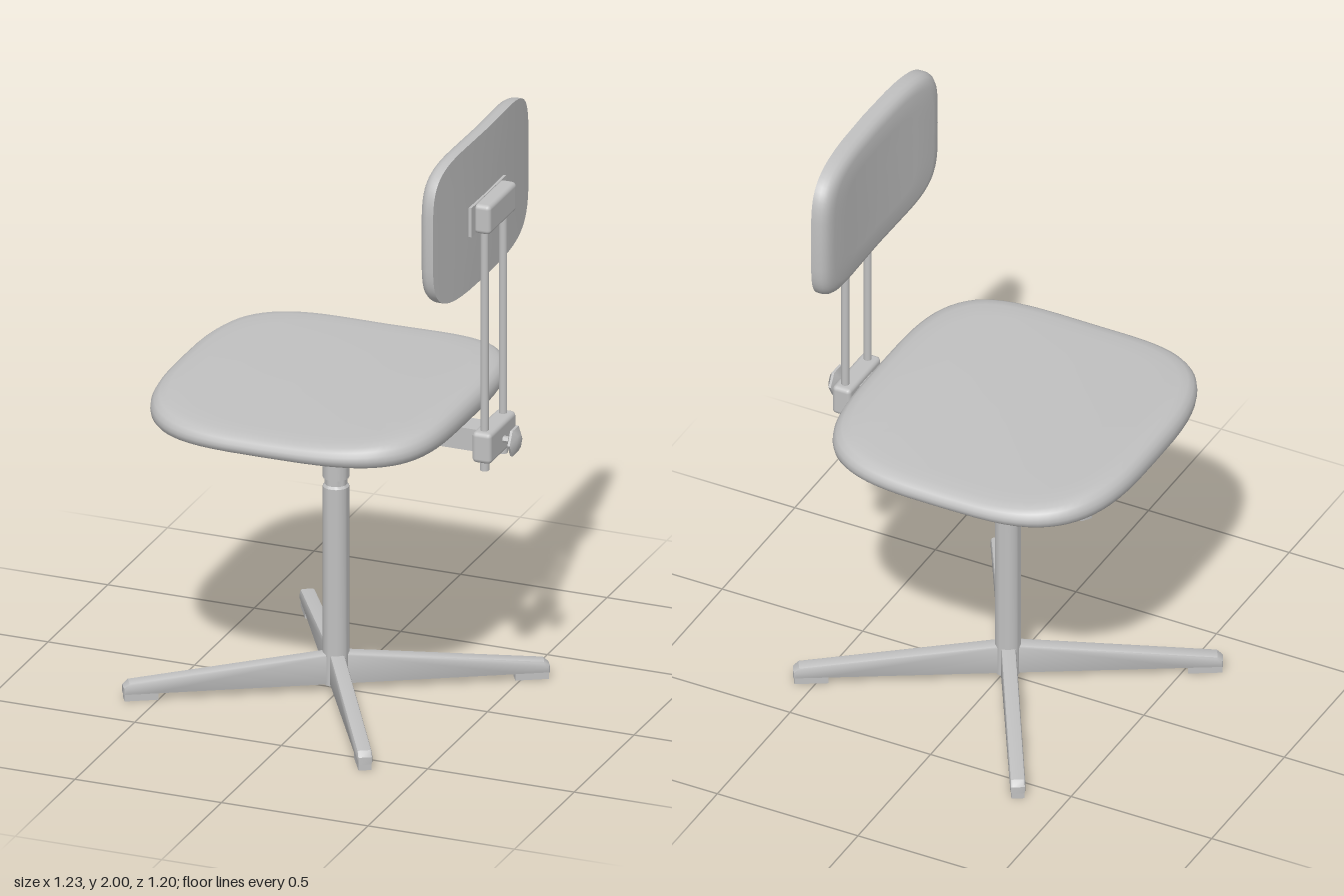
import * as THREE from 'three';
import { toCreasedNormals } from 'three/addons/utils/BufferGeometryUtils.js';
import { RoundedBoxGeometry } from 'three/addons/geometries/RoundedBoxGeometry.js';

const CX = -0.017; // column axis

export function createModel() {
  const model = new THREE.Group();
  model.name = 'workChair';
  const grey = new THREE.MeshStandardMaterial({ color: 0xc0c0c0 });
  grey.name = 'grey';

  const add = (name, geometry, x = 0, y = 0, z = 0, parent = model) => {
    const mesh = new THREE.Mesh(geometry, grey);
    mesh.name = name;
    mesh.position.set(x, y, z);
    parent.add(mesh);
    return mesh;
  };

  // Closed skin over [scale, level] rings; point(angle, scale, level) gives each vertex
  const loft = (rings, point, segments = 64) => {
    const positions = [], index = [];
    for (const [s, t] of rings)
      for (let j = 0; j < segments; j++) positions.push(...point((j / segments) * Math.PI * 2, s, t));
    for (let i = 0; i < rings.length - 1; i++)
      for (let j = 0; j < segments; j++) {
        const k = (j + 1) % segments;
        const a = i * segments + j, b = a + segments, c = i * segments + k, d = c + segments;
        if (rings[i][0] > 0) index.push(a, b, c);
        else { index.push(a, b, d); continue; }
        if (rings[i + 1][0] > 0) index.push(c, b, d);
      }
    const g = new THREE.BufferGeometry();
    g.setAttribute('position', new THREE.Float32BufferAttribute(positions, 3));
    g.setIndex(index);
    return toCreasedNormals(g, 0.75);
  };

  // Rounded-square outline
  const outline = (angle, a, b, n) => {
    const c = Math.cos(angle), s = Math.sin(angle);
    return [a * Math.sign(c) * Math.abs(c) ** (2 / n), b * Math.sign(s) * Math.abs(s) ** (2 / n)];
  };

  // Side profile extruded to a bevelled bar, centred on z
  const bar = (points, width, bevel) => {
    const shape = new THREE.Shape(points.map(([x, y]) => new THREE.Vector2(x, y)));
    const g = new THREE.ExtrudeGeometry(shape, {
      depth: width - 2 * bevel, bevelEnabled: true, bevelThickness: bevel,
      bevelSize: bevel, bevelOffset: -bevel, bevelSegments: 2,
    });
    return toCreasedNormals(g.translate(0, 0, -width / 2 + bevel), 0.6);
  };

  const lathe = (points, segments = 32) => toCreasedNormals(
    new THREE.LatheGeometry(points.map(([r, y]) => new THREE.Vector2(r, y)), segments), 0.6);

  // Seat: gently dished cushion
  add('seat', loft(
    [[0, 0], [0.95, 0], [0.98, 0.06], [0.995, 0.2], [1, 0.38], [0.997, 0.58], [0.98, 0.78], [0.95, 0.92],
      [0.9, 0.99], [0.8, 1], [0.6, 1], [0.4, 1], [0.2, 1], [0, 1]],
    (angle, s, t) => {
      const [ox, oz] = outline(angle, 0.5, 0.54, 3.5 + 0.3 * Math.cos(angle));
      const x = -0.05 + ox * s, z = oz * s;
      const top = 1.056 + 0.017 * Math.min(1, ((x + 0.08) / 0.4) ** 2) - 0.01 * (z / 0.54) ** 2;
      return [x, 0.988 + (top - 0.988) * t, z];
    }, 72));

  // Backrest: curved pad with a rounded front rim
  add('backrest', loft(
    [[0, 0], [0.35, 0], [0.7, 0], [1, 0], [1, 0.022], [0.99, 0.034], [0.965, 0.046], [0.92, 0.055],
      [0.85, 0.06], [0.6, 0.06], [0.3, 0.06], [0, 0.06]],
    (angle, s, t) => {
      const [oy, oz] = outline(angle, 0.25, 0.4, 4.6);
      const z = oz * s;
      return [0.498 - 0.021 * (z / 0.4) ** 2 - t, 1.75 + oy * s, z];
    }));

  // Column with a neck between the two tubes
  add('column', lathe([[0, 0.02], [0.042, 0.02], [0.042, 0.695], [0.036, 0.703], [0.036, 0.725],
    [0.042, 0.725], [0.042, 0.985], [0, 0.985]]), CX);

  // Four-legged base with foot pads
  const legProfile = [[0, 0.02], [0.57, 0.02], [0.68, 0.02], [0.68, 0.045], [0.662, 0.062], [0.04, 0.125], [0, 0.125]];
  for (let i = 0; i < 4; i++) {
    const leg = new THREE.Group();
    leg.name = 'baseLeg';
    leg.position.x = CX;
    leg.rotation.y = Math.PI / 6 + i * Math.PI / 2;
    add('legBar', bar(legProfile, 0.048, 0.008), 0, 0, 0, leg);
    add('footPad', new THREE.BoxGeometry(0.108, 0.026, 0.042), 0.623, 0.013, 0, leg);
    model.add(leg);
  }

  // Seat carrier: two spreading arms and a bar to the back
  for (const side of [-1, 1]) {
    const arm = add('seatArm', bar([[0, 0.905], [0.54, 0.94], [0.54, 0.989], [0, 0.989]], 0.044, 0.004), CX);
    arm.rotation.y = Math.PI + side * 0.616;
  }
  add('backBar', new THREE.BoxGeometry(0.56, 0.075, 0.085), 0.235, 0.943, 0);

  // Lower clamp and its hexagonal knob
  add('lowerClamp', new RoundedBoxGeometry(0.066, 0.105, 0.22, 2, 0.015), 0.522, 0.948, 0);
  const knob = add('clampKnob', lathe([[0, 0], [0.012, 0], [0.012, 0.022], [0.025, 0.026], [0.05, 0.036],
    [0.05, 0.044], [0.025, 0.057], [0, 0.059]], 6), 0.552, 0.944, 0);
  knob.rotation.z = -Math.PI / 2;

  // Twin uprights with end nuts
  for (const z of [-0.077, 0.077]) {
    add('uprightRod', new THREE.CylinderGeometry(0.013, 0.013, 0.85, 20), 0.522, 1.295, z);
    add('rodNut', new THREE.CylinderGeometry(0.015, 0.015, 0.04, 20), 0.522, 0.884, z);
  }

  // Upper clamp and the plate behind the backrest
  add('upperClamp', new RoundedBoxGeometry(0.058, 0.1, 0.23, 3, 0.015), 0.526, 1.735, 0);
  add('backPlate', new THREE.BoxGeometry(0.014, 0.1, 0.29), 0.498, 1.735, 0);

  return model;
}
